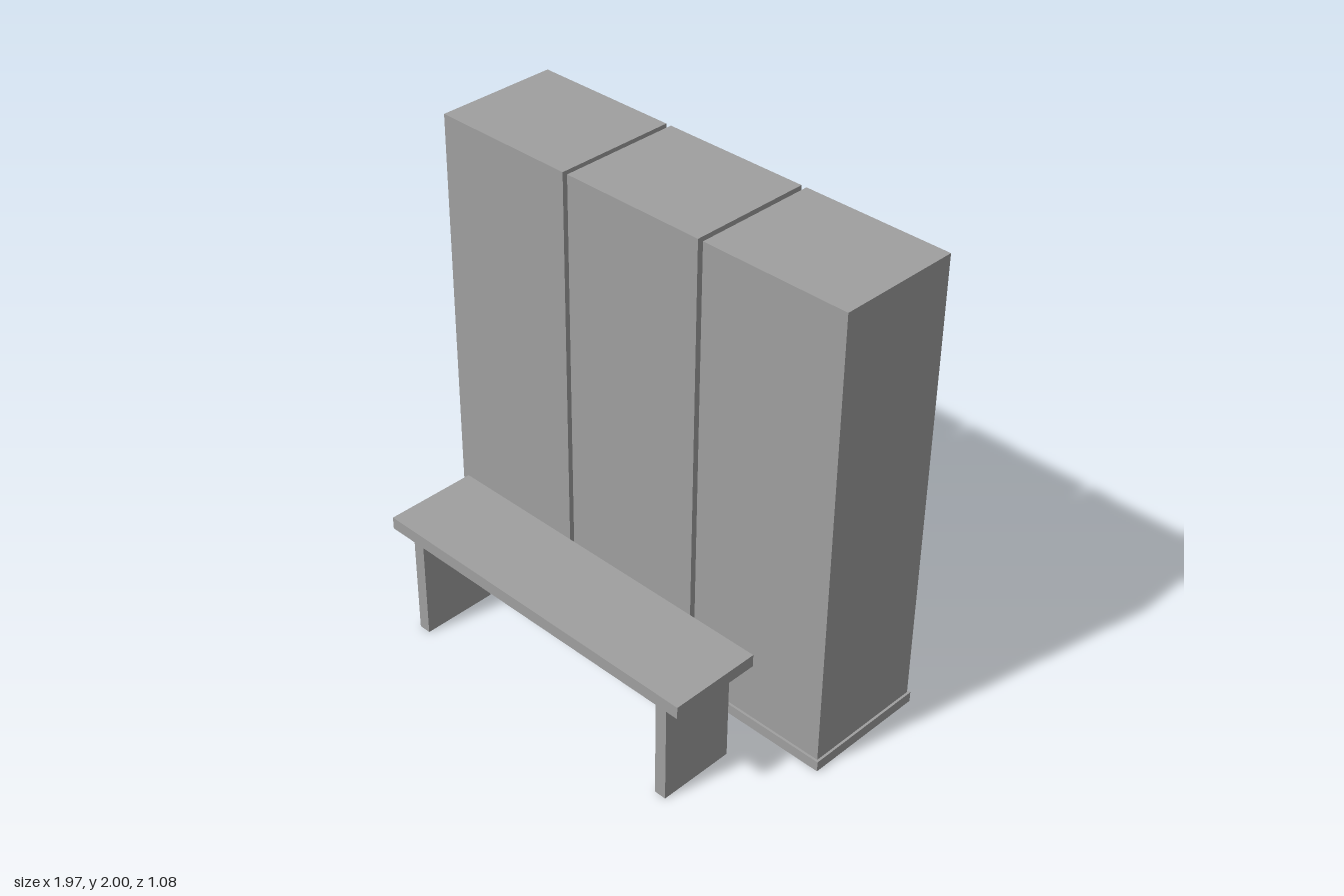
import * as THREE from 'three';

const grey = new THREE.MeshStandardMaterial({ color: 0x9f9f9f });
grey.name = 'grey';

// Box given by its limits on each axis
function box(name, [x0, x1], [y0, y1], [z0, z1]) {
  const mesh = new THREE.Mesh(new THREE.BoxGeometry(x1 - x0, y1 - y0, z1 - z0), grey);
  mesh.position.set((x0 + x1) / 2, (y0 + y1) / 2, (z0 + z1) / 2);
  mesh.name = name;
  return mesh;
}

export function createModel() {
  const model = new THREE.Group();
  model.name = 'lockersWithBench';

  // Row of three lockers on a shared plinth
  const lockers = new THREE.Group();
  lockers.name = 'lockers';
  lockers.add(box('plinth', [-0.987, 0.987], [0, 0.045], [-0.538, 0.006]));
  ['rightLocker', 'middleLocker', 'leftLocker'].forEach((name, i) => {
    const x = (i - 1) * 0.659;
    lockers.add(box(name, [x - 0.318, x + 0.318], [0.045, 2], [-0.53, -0.004]));
  });

  // Bench: a seat board on two slab legs
  const bench = new THREE.Group();
  bench.name = 'bench';
  bench.add(box('seat', [-0.77, 0.77], [0.47, 0.523], [0.144, 0.538]));
  bench.add(box('rightLeg', [-0.686, -0.634], [0, 0.47], [0.175, 0.506]));
  bench.add(box('leftLeg', [0.634, 0.686], [0, 0.47], [0.175, 0.506]));

  model.add(lockers, bench);
  return model;
}
